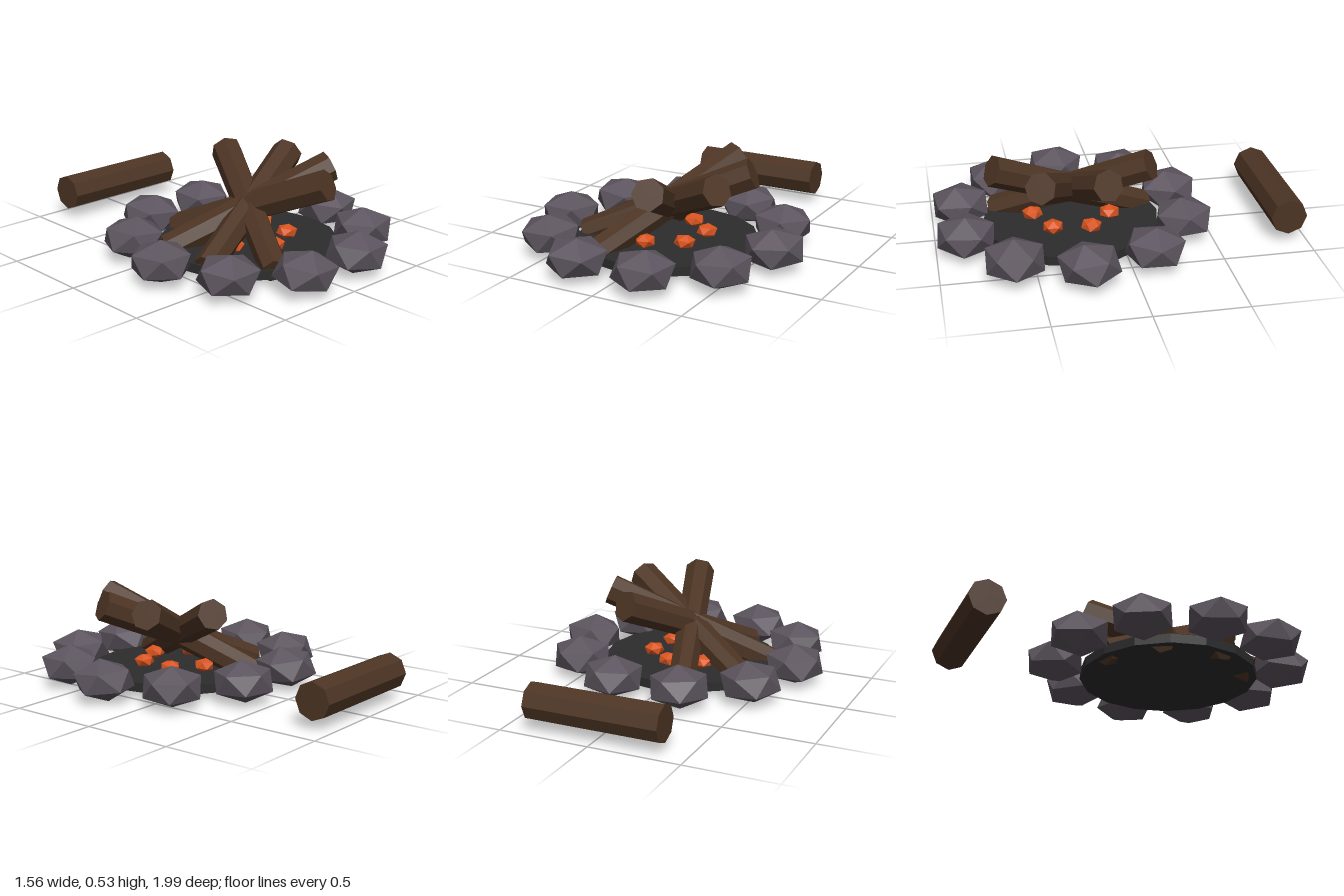
import * as THREE from 'three';

const FIRE_Z = 0.2475; // centre of the fire ring

function material(name, color) {
  const m = new THREE.MeshStandardMaterial({ color, flatShading: true });
  m.name = name;
  return m;
}

// Squashed stone or coal: a point-up icosahedron, tilted and then flattened
function lump(radius, flatten, tilt, yaw) {
  const g = new THREE.IcosahedronGeometry(radius, 0);
  g.rotateZ(0.5536);
  g.rotateY(yaw);
  g.rotateX(tilt);
  g.rotateY(yaw * 1.7);
  g.scale(1, flatten, 1);
  return g;
}

export function createModel() {
  const model = new THREE.Group();
  model.name = 'campfire';
  const wood = material('bark brown', 0x4c3423);
  const stone = material('stone grey', 0x5c545e);
  const ash = material('ash black', 0x2c2c2c);
  const glow = material('ember orange', 0xd9541f);

  const add = (parent, name, geometry, mat, x, y, z) => {
    const mesh = new THREE.Mesh(geometry, mat);
    mesh.name = name;
    mesh.position.set(x, y, z);
    parent.add(mesh);
    return mesh;
  };

  const fire = new THREE.Group();
  fire.name = 'firePit';
  fire.position.z = FIRE_Z;
  model.add(fire);

  // Ash bed
  add(fire, 'ashBed', new THREE.CylinderGeometry(0.487, 0.487, 0.05, 16), ash, 0, 0.064, 0);

  // Ring of ten stones
  for (let i = 0; i < 10; i++) {
    const a = (i / 10) * Math.PI * 2;
    const tilt = 0.2 * Math.sin(i * 2.3 + 1);
    add(fire, 'ringStone', lump(0.175, 0.65, tilt, i * 1.37), stone,
      0.627 * Math.cos(a), 0.125, 0.6 * Math.sin(a) * 1.04);
  }

  // Glowing embers
  const embers = [[-0.02, 0.21], [0.168, 0.122], [0.19, -0.085], [0.045, -0.21], [-0.145, -0.17], [-0.19, 0.08]];
  embers.forEach(([x, z], i) =>
    add(fire, 'ember', lump(0.06, 0.65, 0.25, i * 0.9), glow, x, 0.12, z));

  // Four leaning logs crossing at the centre, each thicker at its raised end
  const logGeometry = new THREE.CylinderGeometry(0.086, 0.074, 0.99, 7);
  for (let i = 0; i < 4; i++) {
    const holder = new THREE.Group();
    holder.name = 'leaningLog';
    holder.rotation.y = 0.3 + Math.PI / 4 - i * Math.PI / 4 + Math.PI / 4;
    fire.add(holder);
    add(holder, 'log', logGeometry, wood, 0, 0.268, 0).rotation.z = 0.4 - Math.PI / 2;
    // raised ends sit at -62, -17, 28 and 73 degrees from +x towards +z
    holder.rotation.y = 0.3 + Math.PI / 4 - i * Math.PI / 4;
  }

  // Seat log lying behind the fire
  const seat = new THREE.CylinderGeometry(0.1, 0.1, 0.74, 8);
  add(model, 'seatLog', seat, wood, 0, 0.155, -0.895).rotation.z = Math.PI / 2;

  return model;
}
